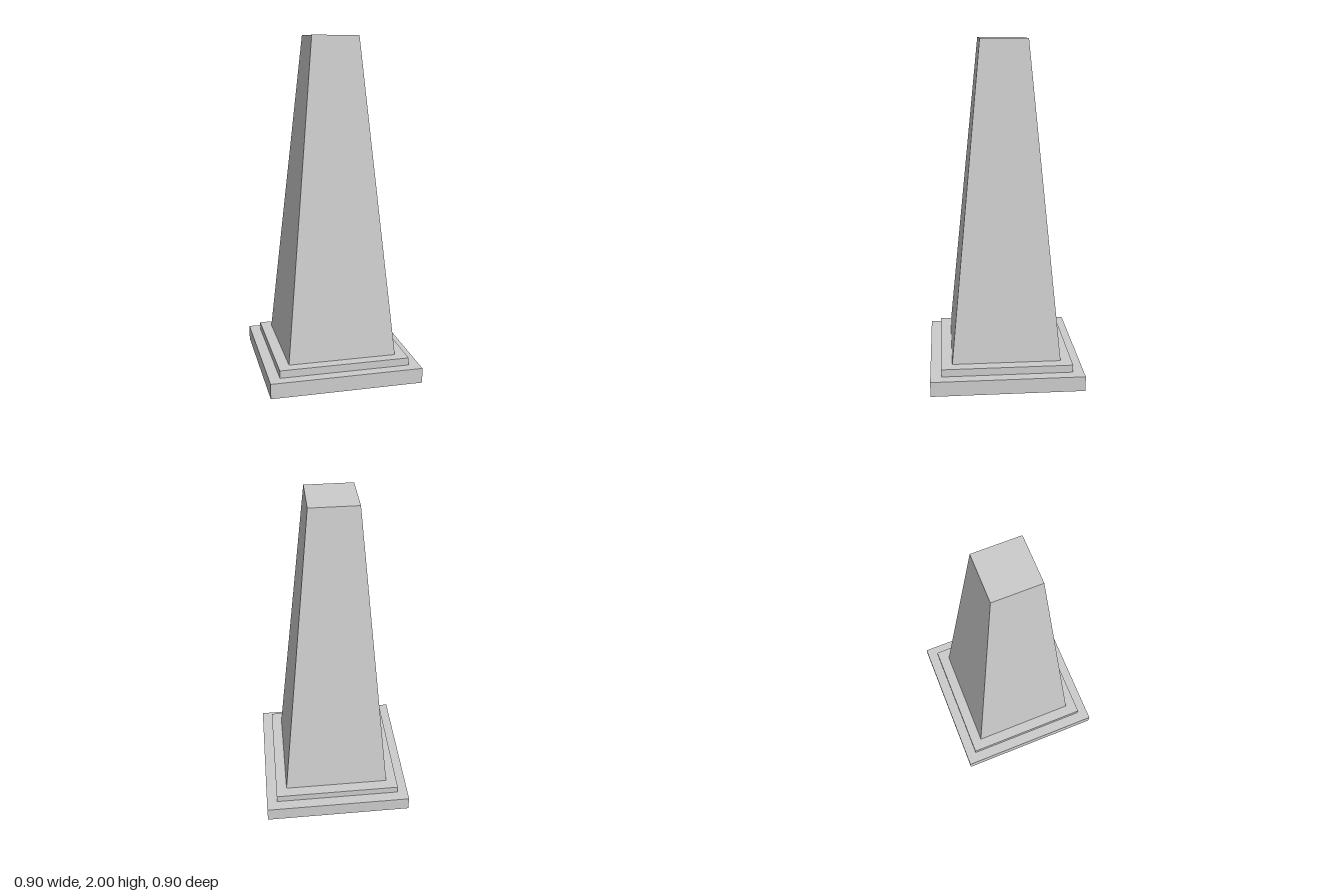
import * as THREE from 'three';

export function createModel() {
  const model = new THREE.Group();
  const material = new THREE.MeshStandardMaterial({ color: 0xcccccc, flatShading: true });

  // Square block from y0 to y1, tapering between two half-widths
  function addBlock(name, y0, y1, bottomHalf, topHalf = bottomHalf) {
    const geometry = new THREE.CylinderGeometry(topHalf * Math.SQRT2, bottomHalf * Math.SQRT2, y1 - y0, 4);
    geometry.rotateY(Math.PI / 4);
    geometry.translate(0, (y0 + y1) / 2, 0);
    const mesh = new THREE.Mesh(geometry, material);
    mesh.name = name;
    model.add(mesh);
  }

  addBlock('basePlate', 0, 0.09, 0.45);
  addBlock('baseStep', 0.09, 0.135, 0.386);
  addBlock('taperedShaft', 0.135, 2, 0.321, 0.1375);

  return model;
}
